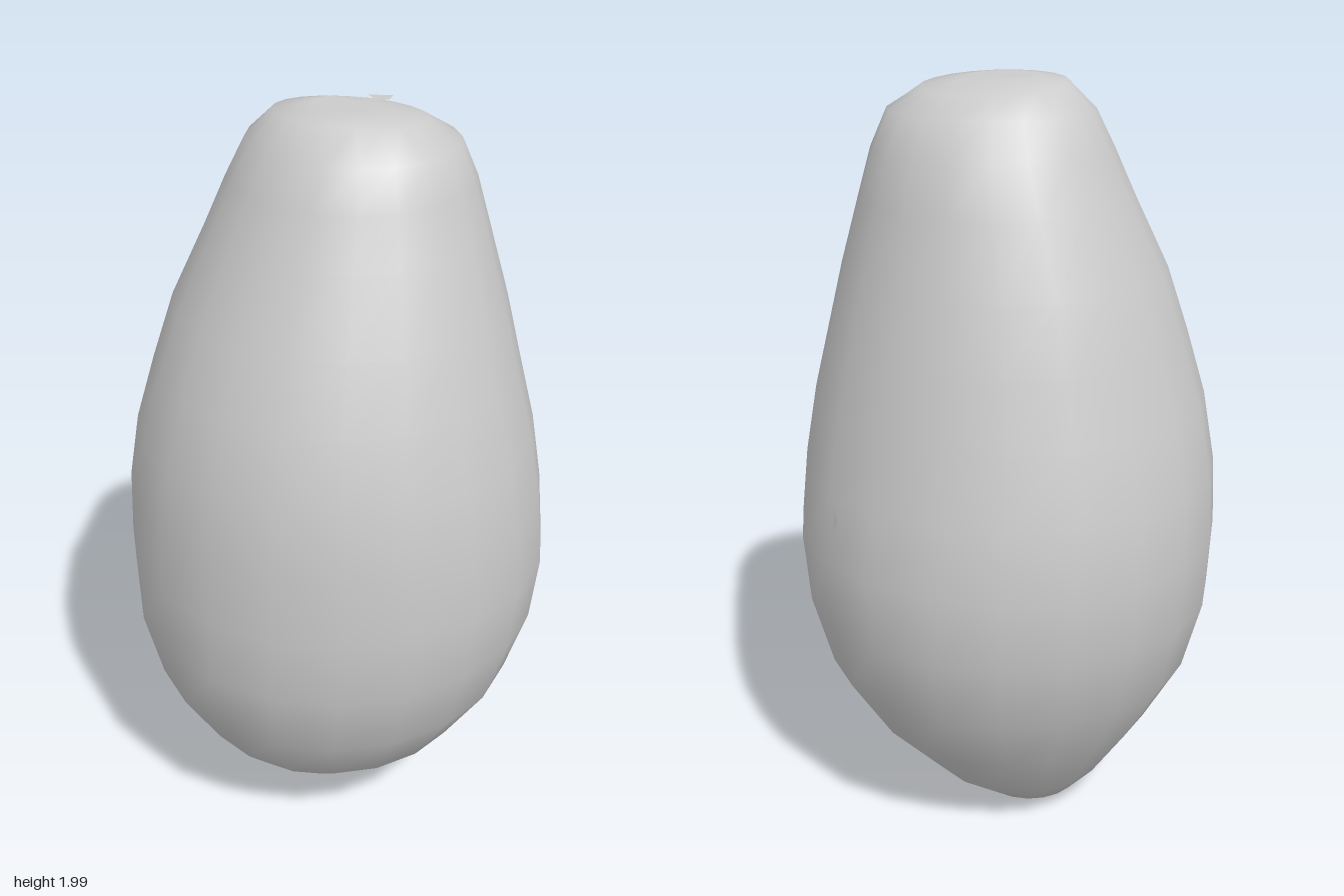
import * as THREE from 'three';

const SIDES = 20;

// Cross-sections from bottom to top: y, min x, max x, min z, max z, tilt along x
const SECTIONS = [
  [0.00, -0.10, 0.01, -0.15, 0.02, 0],
  [0.03, -0.14, 0.14, -0.22, 0.06, 0],
  [0.12, -0.26, 0.26, -0.30, 0.19, 0],
  [0.27, -0.40, 0.39, -0.40, 0.375, 0],
  [0.45, -0.51, 0.50, -0.50, 0.49, 0],
  [0.64, -0.555, 0.545, -0.55, 0.55, 0],
  [0.82, -0.557, 0.553, -0.563, 0.57, 0],
  [1.00, -0.55, 0.525, -0.55, 0.56, 0],
  [1.18, -0.53, 0.485, -0.51, 0.535, 0],
  [1.35, -0.48, 0.45, -0.46, 0.485, 0],
  [1.52, -0.415, 0.405, -0.41, 0.44, 0],
  [1.70, -0.33, 0.36, -0.33, 0.375, 0],
  [1.82, -0.275, 0.325, -0.28, 0.335, 0],
  [1.915, -0.23, 0.27, -0.23, 0.30, 0],
  [1.975, -0.16, 0.19, -0.16, 0.22, 0.08],
  [1.99, -0.08, 0.10, -0.08, 0.11, 0.06],
];

// Lofts the cross-sections into one closed, smooth skin
function loft(sections, bottom, top) {
  const points = [], index = [];
  for (const [y, x0, x1, z0, z1, tilt] of sections) {
    for (let i = 0; i < SIDES; i++) {
      const a = (i / SIDES) * Math.PI * 2;
      const x = (x0 + x1) / 2 + Math.cos(a) * (x1 - x0) / 2;
      const z = (z0 + z1) / 2 + Math.sin(a) * (z1 - z0) / 2;
      points.push(x, y - tilt * x, z);
    }
  }
  const last = (sections.length - 1) * SIDES;
  const bottomId = last + SIDES, topId = bottomId + 1;
  points.push(...bottom, ...top);
  for (let i = 0; i < SIDES; i++) {
    const j = (i + 1) % SIDES;
    for (let r = 0; r < last; r += SIDES) {
      index.push(r + i, r + SIDES + i, r + j);
      index.push(r + j, r + SIDES + i, r + SIDES + j);
    }
    index.push(bottomId, i, j, topId, last + j, last + i);
  }
  const geometry = new THREE.BufferGeometry();
  geometry.setAttribute('position', new THREE.Float32BufferAttribute(points, 3));
  geometry.setIndex(index);
  geometry.computeVertexNormals();
  return geometry;
}

export function createModel() {
  const group = new THREE.Group();
  group.name = 'fruit';
  const skin = new THREE.MeshStandardMaterial({ color: 0xcccccc });
  const facet = new THREE.MeshStandardMaterial({
    color: 0xcccccc, flatShading: true, side: THREE.DoubleSide,
  });
  const add = (name, geometry, material) => {
    const mesh = new THREE.Mesh(geometry, material);
    mesh.name = name;
    group.add(mesh);
    return mesh;
  };

  // Pear-shaped body with a slightly off-centre tip
  add('body', loft(SECTIONS, [-0.05, 0, -0.07], [0, 1.985, 0.01]), skin);

  // Flat scar where the stalk broke off
  const scar = new THREE.Shape([
    [-0.045, 0.05], [0, 0.065], [0.045, 0.05], [0.05, -0.09], [-0.035, -0.09],
  ].map(([x, y]) => new THREE.Vector2(x, y)));
  const stemScar = add('stemScar', new THREE.ShapeGeometry(scar), facet);
  stemScar.rotation.x = -Math.PI / 2;
  stemScar.position.y = 1.993;

  // Small torn flake beside the scar
  const tear = new THREE.Shape([
    [0.05, -0.04], [0.11, -0.03], [0.13, 0], [0.17, -0.05], [0.12, -0.07],
  ].map(([x, y]) => new THREE.Vector2(x, y)));
  const flake = add('stemFlake', new THREE.ShapeGeometry(tear), facet);
  flake.rotation.set(-Math.PI / 2, 0.08, 0);
  flake.position.y = 1.995;

  // Faint flat blemish on the side
  const blemish = add('blemish', new THREE.CircleGeometry(0.07, 5), facet);
  blemish.position.set(0.492, 0.94, 0.2);
  blemish.lookAt(1.5, 1.08, 0.61);

  return group;
}
